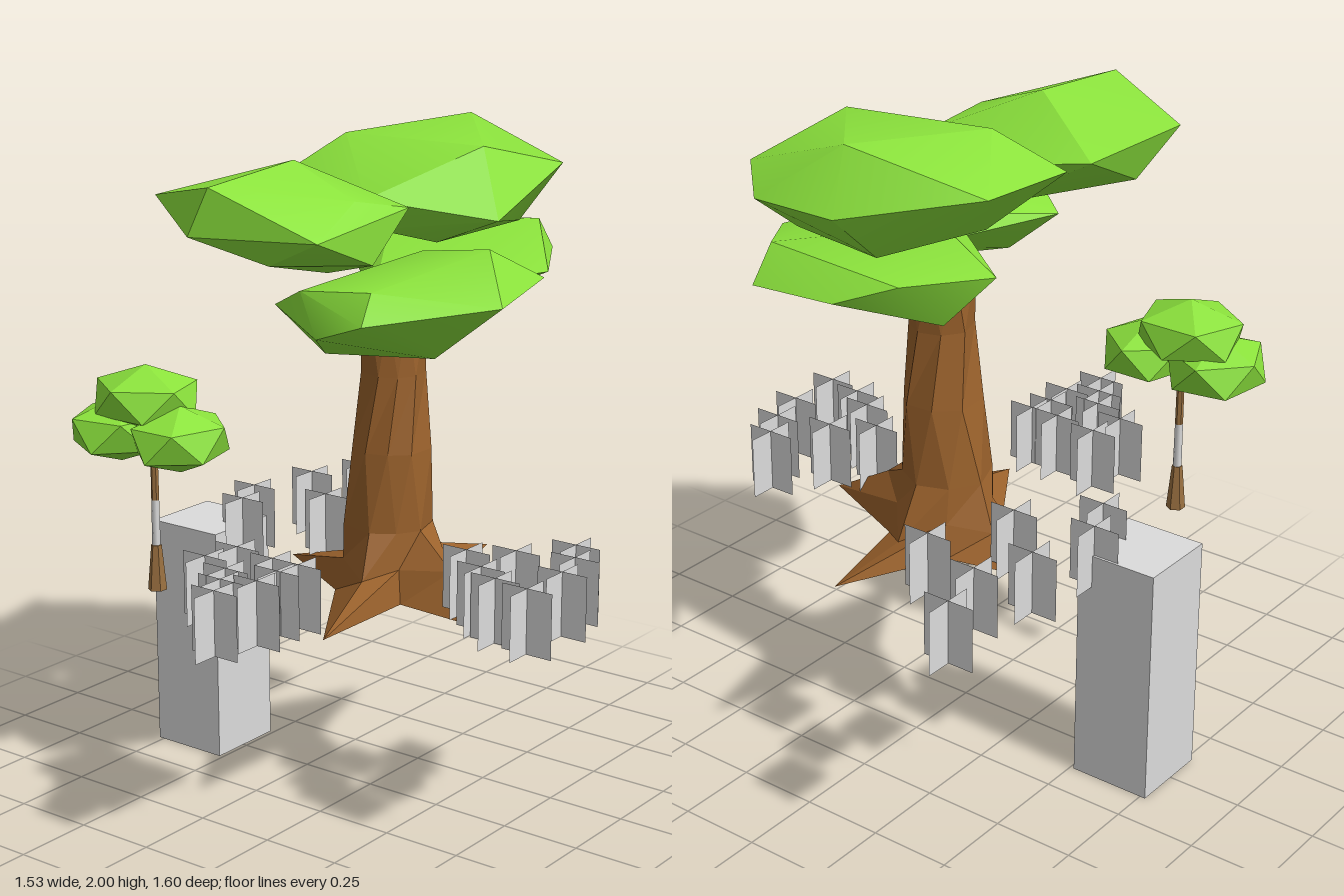
import * as THREE from 'three';
import { toCreasedNormals } from 'three/addons/utils/BufferGeometryUtils.js';
import { ConvexGeometry } from 'three/addons/geometries/ConvexGeometry.js';

const material = (name, color, extra = {}) => {
  const m = new THREE.MeshStandardMaterial({ color, ...extra });
  m.name = name;
  return m;
};

// Open faceted shell through rings of points, listed from bottom to top
function loft(rings) {
  const verts = [];
  const n = rings[0].length;
  for (let i = 0; i < rings.length - 1; i++) {
    for (let j = 0; j < n; j++) {
      const k = (j + 1) % n;
      const a = rings[i][j], b = rings[i][k], c = rings[i + 1][j], d = rings[i + 1][k];
      verts.push(...a, ...c, ...b, ...b, ...c, ...d);
    }
  }
  const geometry = new THREE.BufferGeometry();
  geometry.setAttribute('position', new THREE.Float32BufferAttribute(verts, 3));
  geometry.computeVertexNormals();
  return geometry;
}

export function createModel() {
  const leaf = material('leafGreen', 0x8be23c);
  const bark = material('barkBrown', 0x9b622c, { flatShading: true, side: THREE.DoubleSide });
  const stemBrown = material('stemBrown', 0x9a7040, { flatShading: true });
  const grey = material('grey', 0xdcdcdc, { side: THREE.DoubleSide });

  const model = new THREE.Group();
  const add = (parent, name, geometry, mat, x = 0, y = 0, z = 0) => {
    const mesh = new THREE.Mesh(geometry, mat);
    mesh.name = name;
    mesh.position.set(x, y, z);
    parent.add(mesh);
    return mesh;
  };
  const group = (name) => {
    const g = new THREE.Group();
    g.name = name;
    model.add(g);
    return g;
  };
  const hull = (points) => new ConvexGeometry(points.map((p) => new THREE.Vector3(...p)));

  // Large tree: faceted foliage masses
  const tree = group('largeTree');
  const foliage = {
    upperBackFoliage: [
      [-0.08, 2, -0.62], [0.2, 1.96, -0.28], [0.27, 1.88, -0.6], [0.33, 1.77, -0.17],
      [0.02, 1.83, 0.05], [-0.4, 1.84, -0.07], [-0.45, 1.89, -0.49], [-0.25, 1.97, -0.21],
      [-0.12, 1.83, -0.72], [0.15, 1.83, -0.72], [-0.15, 1.69, -0.58],
      [0.15, 1.7, -0.55], [0.1, 1.68, -0.19], [-0.3, 1.72, -0.3], [0, 1.73, -0.03],
    ],
    upperFrontFoliage: [
      [-0.44, 1.85, 0.43], [-0.43, 1.85, 0], [-0.12, 1.92, 0.57], [-0.12, 1.95, 0.2],
      [-0.28, 1.83, -0.05], [0.12, 1.86, 0.23], [0.16, 1.82, 0.03], [0.17, 1.78, 0.46],
      [-0.18, 1.78, 0.59], [-0.38, 1.71, 0.3], [0, 1.64, 0.2], [0.16, 1.68, 0.2],
      [0, 1.7, 0.46], [-0.1, 1.66, 0],
    ],
    lowerFrontFoliage: [
      [0.47, 1.62, -0.2], [0.43, 1.73, 0.02], [0.61, 1.62, 0.22], [0.34, 1.58, 0.49],
      [0.41, 1.46, 0.25], [0.17, 1.52, 0.47], [0.03, 1.42, 0.25], [-0.12, 1.55, 0.29],
      [0.1, 1.65, -0.21], [0.32, 1.66, 0.42], [0.06, 1.63, 0.4], [0.2, 1.46, -0.14],
      [0.05, 1.55, -0.2], [0.2, 1.7, 0.02],
    ],
    lowerBackFoliage: [
      [-0.41, 1.64, -0.4], [-0.31, 1.51, -0.5], [-0.28, 1.66, -0.65], [-0.12, 1.6, -0.73],
      [0.15, 1.59, -0.74], [0.38, 1.6, -0.36], [0.32, 1.6, -0.15], [0.15, 1.69, -0.66],
      [-0.15, 1.7, -0.3], [0.1, 1.48, -0.44], [-0.1, 1.52, -0.12], [0, 1.6, -0.04],
    ],
  };
  for (const [name, points] of Object.entries(foliage)) {
    add(tree, name, toCreasedNormals(hull(points), 0.5), leaf);
  }

  // Trunk flaring into four pointed roots, open below; spokes alternate root and valley
  const tips = [[0.49, 0.59, -0.02], [0.11, 0.61, 0.37], [-0.43, 0.62, -0.16], [0.03, 0.635, -0.58]];
  const cz = -0.1;
  const angles = tips.map(([x, , z]) => Math.atan2(z - cz, x));
  angles[2] += Math.PI * 2;
  angles[3] += Math.PI * 2;
  const spokes = angles.flatMap((a, i) => [a, (a + (angles[i + 1] ?? angles[0] + Math.PI * 2)) / 2]);
  const ring = (radii, heights) => spokes.map((a, i) =>
    [Math.cos(a) * radii[i], heights[i], cz + Math.sin(a) * radii[i]]);
  const foot = ring(Array(8).fill(0.17), Array(8).fill(0.62)).map((p, i) => (i % 2 ? p : tips[i / 2]));
  const knee = ring(
    [0.26, 0.145, 0.21, 0.145, 0.2, 0.145, 0.21, 0.145],
    [0.73, 0.72, 0.7, 0.72, 0.69, 0.72, 0.67, 0.72],
  );
  // Upper rings: height, centre x, centre z, radius, twist
  const stem = [
    [0.83, -0.005, -0.095, 0.14, 0], [1.07, 0.01, -0.097, 0.124, 0.3],
    [1.3, 0.012, -0.098, 0.1, 0.05], [1.48, 0.008, -0.105, 0.102, 0.35], [1.56, 0, -0.1, 0.03, 0.35],
  ].map(([y, x, z, radius, twist]) => spokes.map((a, i) => {
    const r = radius * (i % 2 ? 0.97 : 1);
    return [x + Math.cos(a + twist) * r, y, z + Math.sin(a + twist) * r];
  }));
  add(tree, 'trunkAndRoots', loft([foot, knee, ...stem]), bark);

  // Sapling with a pale band around its stem
  const sapling = group('sapling');
  const sx = -0.49, sz = 0.41;
  add(sapling, 'stemFoot', new THREE.CylinderGeometry(0.016, 0.029, 0.14, 6), stemBrown, sx, 0.72, sz);
  add(sapling, 'stemBand', new THREE.CylinderGeometry(0.012, 0.013, 0.14, 6), grey, sx, 0.86, sz);
  add(sapling, 'upperStem', new THREE.CylinderGeometry(0.011, 0.012, 0.2, 6), stemBrown, sx, 1.03, sz);
  [
    [-0.515, 1.24, 0.41, 0.18, 0.1, 0.165, 0.3],
    [-0.595, 1.14, 0.435, 0.16, 0.1, 0.175, 1.1],
    [-0.37, 1.14, 0.425, 0.15, 0.1, 0.175, 2.2],
  ].forEach(([x, y, z, rx, ry, rz, turn]) => {
    const puff = new THREE.IcosahedronGeometry(1, 0).rotateZ(0.55).rotateY(turn).scale(rx, ry, rz);
    add(sapling, 'saplingFoliage', toCreasedNormals(puff, 0.1), leaf, x, y, z);
  });

  // Crossed upright planes in three grass patches
  const patches = {
    rightGrass: [[0.35, 0], [0.68, 0.18], [0.68, 0], [0.64, -0.13], [0.47, 0.1],
      [0.56, 0.16], [0.47, -0.08], [0.58, -0.23]],
    frontGrass: [[0, 0.715], [0.045, 0.4], [-0.22, 0.5], [-0.2, 0.38], [-0.05, 0.4],
      [-0.1, 0.55], [0.04, 0.58], [-0.05, 0.63], [0.03, 0.48]],
    backGrass: [[-0.49, -0.715], [-0.435, -0.53], [-0.21, -0.45], [-0.56, -0.13],
      [-0.32, -0.19], [-0.5, 0], [-0.51, -0.36]],
  };
  const blade = new THREE.PlaneGeometry(0.165, 0.195);
  for (const [name, spots] of Object.entries(patches)) {
    const patch = group(name);
    for (const [x, z] of spots) {
      add(patch, 'grassBlade', blade, grey, x, 0.737, z);
      add(patch, 'crossBlade', blade, grey, x, 0.737, z).rotation.y = Math.PI / 2;
    }
  }

  // Plain rectangular pillar
  add(model, 'pillar', new THREE.BoxGeometry(0.255, 0.74, 0.255), grey, -0.64, 0.37, -0.01);

  return model;
}
